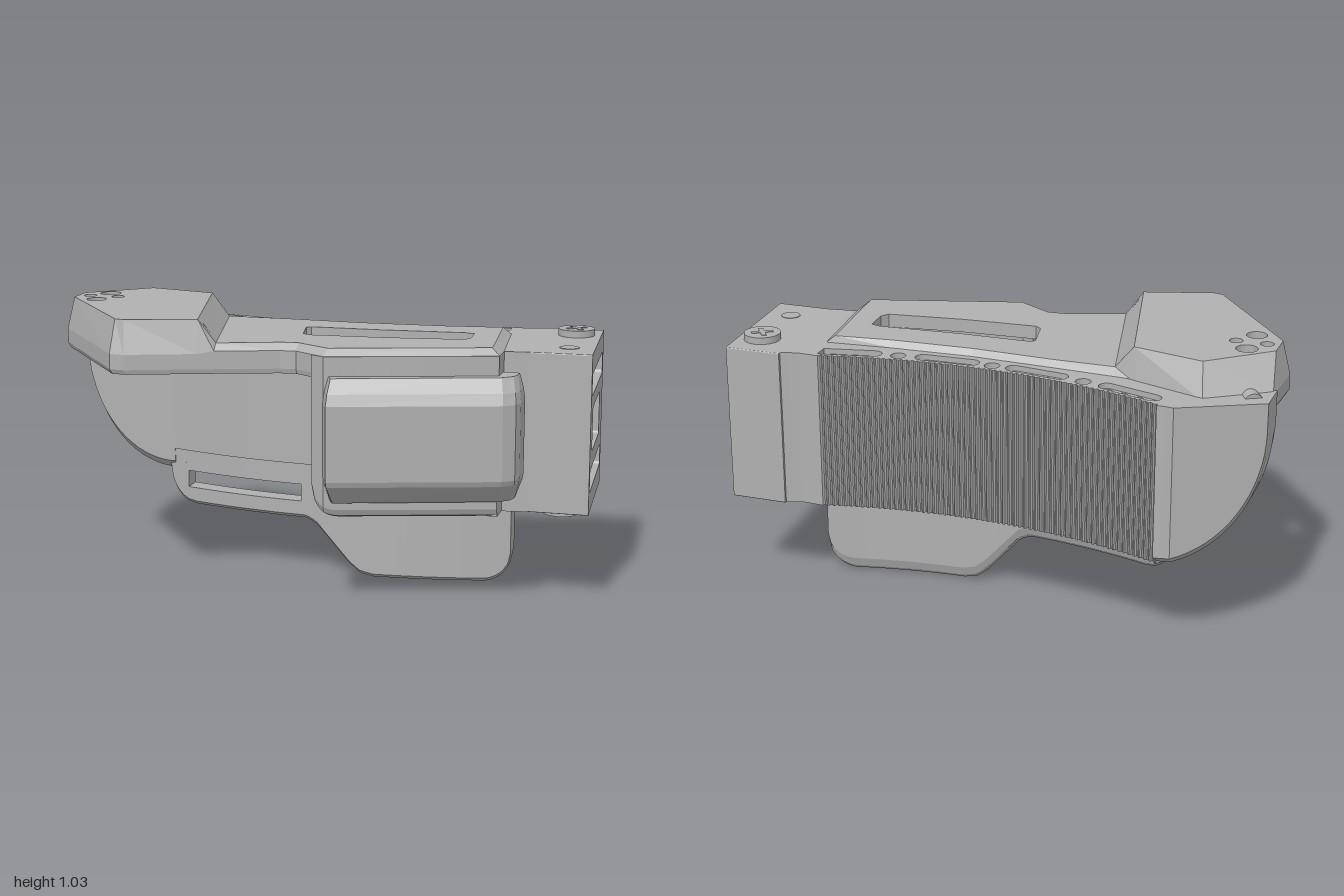
import * as THREE from 'three';

const grey = new THREE.MeshStandardMaterial({ color: 0xb0b0b0, side: THREE.DoubleSide });
grey.name = 'grey';

const V = (x, y) => new THREE.Vector2(x, y);
// the back of the grip is a shallow arc in plan; the front runs parallel to it
const back = x => (x > 0.62 ? -0.395 : -0.33 - 0.24 * (x - 0.1) ** 2);
const front = x => -0.07 - 0.24 * (Math.min(x, 0.68) - 0.1) ** 2;
const range = (a, b, n) => Array.from({ length: n + 1 }, (_, i) => a + (b - a) * i / n);
const arcDrop = t => 1 - Math.sqrt(Math.max(0, 1 - t * t));

function circle(x, y, r) {
  return new THREE.Path().absarc(x, y, r, 0, Math.PI * 2);
}
function roundRect(x0, y0, x1, y1, r, Type = THREE.Path) {
  const p = new Type();
  p.absarc(x1 - r, y0 + r, r, -Math.PI / 2, 0);
  p.absarc(x1 - r, y1 - r, r, 0, Math.PI / 2);
  p.absarc(x0 + r, y1 - r, r, Math.PI / 2, Math.PI);
  p.absarc(x0 + r, y0 + r, r, Math.PI, Math.PI * 1.5);
  p.closePath();
  return p;
}
// extrude a plan outline of [x, z] points upward from y0 to y1
function plan(pts, y0, y1, holes = []) {
  const s = new THREE.Shape(pts.map(([x, z]) => V(x, -z)));
  s.holes.push(...holes);
  return new THREE.ExtrudeGeometry(s, { depth: y1 - y0, bevelEnabled: false, curveSegments: 8 })
    .rotateX(-Math.PI / 2).translate(0, y0, 0);
}
// extrude a (-z, y) outline along x from x0
function across(shape, x0, depth) {
  return new THREE.ExtrudeGeometry(shape, { depth, bevelEnabled: false }).rotateY(Math.PI / 2).translate(x0, 0, 0);
}
// skin closed rings of [x, y, z] points, with optional fan caps
function loft(rings, caps = false) {
  const out = [], n = rings[0].length;
  const tri = (a, b, c) => out.push(...a, ...b, ...c);
  for (let i = 0; i + 1 < rings.length; i++) {
    for (let j = 0; j < n; j++) {
      const k = (j + 1) % n, p = rings[i], q = rings[i + 1];
      tri(p[j], p[k], q[k]);
      tri(p[j], q[k], q[j]);
    }
  }
  if (caps) {
    for (let j = 1; j + 1 < n; j++) {
      const p = rings[0], q = rings[rings.length - 1];
      tri(p[0], p[j + 1], p[j]);
      tri(q[0], q[j], q[j + 1]);
    }
  }
  const g = new THREE.BufferGeometry();
  g.setAttribute('position', new THREE.Float32BufferAttribute(out, 3));
  g.computeVertexNormals();
  return g;
}
// straight-line profile through a few [x, y] points
function profile(pts, x) {
  const i = Math.max(1, pts.findIndex(p => p[0] >= x)), [a, b] = [pts[i - 1], pts[i]];
  return a[1] + (b[1] - a[1]) * (x - a[0]) / (b[0] - a[0]);
}

export function createModel() {
  const model = new THREE.Group();
  const add = (name, g) => {
    const m = new THREE.Mesh(g, grey);
    m.name = name;
    model.add(m);
    return m;
  };

  // curved grip with a finely ribbed back, round holes and shallow slots
  const outline = range(-0.66, 0.62, 248).map((x, i) => [x, back(x) + (i % 4 > 1 ? 0.008 : 0)]);
  outline.push([0.7, -0.39], [0.77, -0.41], ...range(0.77, -0.66, 36).map(x => [x, front(x)]));
  const round = [-0.35, 0, 0.35].map(x => circle(x, -back(x) - 0.047, 0.028));
  const slots = [], bores = [];
  for (const x of [-0.53, -0.17, 0.17, 0.53]) {
    const slope = 0.48 * (x - 0.1), a = Math.atan(slope), z = d => -back(x) - 0.05 + slope * d;
    const p = new THREE.Path();
    p.absarc(x + 0.09, z(0.09), 0.029, a - Math.PI / 2, a + Math.PI / 2);
    p.absarc(x - 0.09, z(-0.09), 0.029, a + Math.PI / 2, a + Math.PI * 1.5);
    p.closePath();
    slots.push(p);
    for (const d of [-0.09, -0.03, 0.03, 0.09]) bores.push(circle(x + d, z(d), 0.022));
  }
  add('grip', plan(outline, 0.36, 0.9, [...round, ...bores]));
  add('gripTop', plan(outline, 0.9, 0.92, [...round, ...slots]));
  add('gripBottom', plan(outline, 0.34, 0.36, [...round, ...slots]));

  // grip end, its lower corner swept up in a curve
  add('gripEnd', loft(range(0, Math.PI / 2, 18).map(a => {
    const t = Math.sin(a), x = -0.65 - 0.35 * t, y = 0.34 + 0.46 * arcDrop(t);
    const zb = x > -0.7 ? -0.47 : -0.48 + (-0.7 - x) * 0.5;
    return [[x, y + 0.02, zb], [x, y, zb + 0.02], [x, y, -0.23], [x, y + 0.03, -0.2], [x, 0.92, -0.2], [x, 0.92, zb]];
  }), true));

  // raised panel on the front of the grip
  const panelEnd = range(0, 0.04, 5);
  add('frontPanel', loft([...panelEnd.map(d => -0.71 + d), ...range(-0.65, -0.01, 20), ...panelEnd.map(d => 0.01 + d)].map(x => {
    const d = 0.04 * arcDrop(Math.min(1, Math.max(0, -0.67 - x, x - 0.01) / 0.04)), z = front(x);
    return [[x, 0.42 + d, z], [x, 0.42 + d, z + 0.006], [x, 0.8 - d, z + 0.006], [x, 0.8 - d, z]];
  }), true));

  // hanging guard: open bar running into the lower plate
  const lower = [[-0.67, 0.21], [-0.09, 0.21], [-0.05, 0.19], [0.08, 0.045], [0.12, 0.012], [0.17, 0], [0.68, 0]];
  const guardX = [...range(-0.67, -0.591, 12), ...range(-0.59, -0.11, 14), ...range(-0.109, 0.2, 24), ...range(0.23, 0.57, 10), ...range(0.58, 0.68, 12)];
  add('guard', loft(guardX.map(x => {
    const lo = profile(lower, x) + 0.13 * arcDrop(Math.max(0, -0.56 - x) / 0.11) + 0.1 * arcDrop(Math.min(1, Math.max(0, x - 0.58) / 0.1));
    const hi = x > -0.5905 && x < -0.1095 ? 0.275 : 0.37, z = front(x);
    return [[x, hi, z], [x, lo + 0.012, z], [x, lo, z - 0.012], [x, lo, z - 0.05], [x, lo + 0.015, z - 0.068], [x, lo + 0.05, z - 0.08], [x, hi, z - 0.08]];
  }), true));

  // top shroud rim: lower x, z; upper x, z; upper y
  const H = 1.03, L = 0.945;
  const rim = [
    [-0.99, -0.22, -0.97, -0.11, H], [-0.78, -0.36, -0.76, -0.295, H], [-0.52, -0.27, -0.5, -0.23, H],
    [-0.44, -0.25, -0.43, -0.22, L], [-0.2, -0.235, -0.2, -0.22, L], [0.1, -0.22, 0.1, -0.205, L],
    [0.4, -0.23, 0.4, -0.215, L], [0.65, -0.25, 0.62, -0.24, L], [0.69, 0.13, 0.655, 0.12, L],
    [0.69, 0.21, 0.66, 0.19, L], [0.1, 0.38, 0.11, 0.35, L], [-0.02, 0.3, -0.02, 0.27, L],
    [-0.08, 0.305, -0.08, 0.275, L], [-0.3, 0.375, -0.3, 0.35, L], [-0.36, 0.395, -0.36, 0.37, H],
    [-0.6, 0.477, -0.61, 0.445, H], [-0.655, 0.472, -0.645, 0.435, H], [-1, 0, -0.97, 0, H],
  ];
  const inset = (x, y, z) => [x * 0.95 - 0.01, y, z * 0.9];
  add('shroudWall', loft([
    rim.map(([, , x, z, y]) => inset(x, y - 0.02, z)),
    rim.map(([x, z]) => inset(x, 0.838, z)),
    rim.map(([x, z]) => [x * 0.99, 0.838, z * 0.985]),
    rim.map(([x, z]) => [x, 0.855, z]),
    rim.map(([x, z, , , y]) => [x, y === H ? 0.91 : 0.92, z]),
    rim.map(([, , x, z, y]) => [x, y, z]),
  ]));
  const upper = rim.map(([, , x, z]) => [x, z]);
  const high = [...upper.slice(0, 3), ...upper.slice(14)];
  const through = [circle(-0.87, 0.12, 0.039), circle(-0.87, -0.03, 0.037)];
  const blind = [circle(-0.925, 0.05, 0.024), circle(-0.815, 0.05, 0.024)];
  add('shroudHighTop', plan(high, H - 0.02, H, [...through, ...blind]));
  add('shroudHighUnder', plan(high, H - 0.035, H - 0.02, through));
  const window = new THREE.Path([V(-0.08, 0.05), V(-0.065, 0.065), V(0.2, 0.067), V(0.51, 0.087), V(0.545, 0.075),
    V(0.55, -0.02), V(0.53, -0.05), V(0.25, -0.085), V(-0.03, -0.1), V(-0.055, -0.08)]);
  add('shroudLowTop', plan(upper.slice(3, 14), L - 0.05, L, [window]));
  const ramp = d => [2, 3, 13, 14].map(i => [rim[i][2], rim[i][4] - d, rim[i][3]]);
  add('shroudRamp', loft([ramp(0), ramp(0.03)], true));

  // skirt dropping from the shroud, its lower edge rounded under
  const skirtX = [...range(0.05, 0.15, 10), ...range(0.2, 0.69, 4)];
  add('skirt', loft(skirtX.map(x => {
    const y = 0.34 + 0.09 * arcDrop(Math.max(0, 0.15 - x) / 0.1);
    const z = 0.383 - Math.abs(x - 0.1) * (x < 0.1 ? 0.6 : 0.288);
    return [[x, 0.92, z], [x, y + 0.03, z], [x, y + 0.008, z - 0.01], [x, y, z - 0.03], [x, y, z - 0.05], [x, 0.92, z - 0.05]];
  }), true));
  add('skirtSide', plan([[0.65, 0.08], [0.69, 0.08], [0.69, 0.2], [0.65, 0.2]], 0.34, 0.92));

  // chamfered cover in front of the skirt
  const coverRing = (y, d) => [
    [0.12 + d * 0.3, y, 0.345], [0.1 + d * 0.3, y, 0.385 - d * 0.3], [0.13 + d * 0.1, y, 0.463 - d],
    [0.72 - d * 0.3, y, 0.29 - d], [0.76 - d * 0.4, y, 0.258 - d], [0.77 - d * 0.4, y, 0.22 - d], [0.77 - d * 0.4, y, 0.135], [0.68, y, 0.135],
  ];
  add('cover', loft([coverRing(0.4, 0.07), coverRing(0.47, 0.008), coverRing(0.49, 0), coverRing(0.76, 0),
    coverRing(0.8, 0.015), coverRing(0.85, 0.05)], true));

  // end block with three pockets, its end face slightly skewed
  const block = roundRect(-0.105, 0.34, 0.42, 0.92, 0.004, THREE.Shape);
  block.holes.push(roundRect(-0.07, 0.765, 0.385, 0.845, 0.015), roundRect(-0.015, 0.555, 0.29, 0.715, 0.012),
    roundRect(-0.07, 0.415, 0.385, 0.495, 0.015));
  const bg = across(block, 0.76, 0.24);
  const p = bg.attributes.position;
  for (let i = 0; i < p.count; i++) if (p.getX(i) > 0.9) p.setX(i, p.getX(i) + (p.getZ(i) - 0.105) * 0.06);
  bg.computeVertexNormals();
  add('endBlock', bg);
  add('blockFloor', plan([[0.63, -0.385], [0.71, -0.39], [0.78, -0.418], [0.78, 0.105], [0.63, 0.125]], 0.34, 0.92));

  // stepped frame and catch inside the middle pocket
  const frame = roundRect(-0.02, 0.55, 0.295, 0.72, 0.01, THREE.Shape);
  frame.holes.push(roundRect(0, 0.59, 0.245, 0.68, 0.004));
  add('pocketFrame', across(frame, 0.82, 0.03));
  add('pocketCatch', new THREE.BoxGeometry(0.04, 0.09, 0.06)).position.set(0.8, 0.635, -0.215);

  // screws, their shanks crossing the pockets
  for (const [y, dir, z, shankY] of [[0.932, 1, -0.29, 0.805], [0.328, -1, -0.017, 0.455]]) {
    add('screwHead', new THREE.CylinderGeometry(0.067, 0.067, 0.026, 32)).position.set(0.885, y, z);
    add('screwShank', new THREE.CylinderGeometry(0.033, 0.033, 0.09, 20)).position.set(0.885, shankY, z);
    add('screwTip', new THREE.CylinderGeometry(0.035, 0.035, 0.004, 20)).position.set(0.9, dir > 0 ? 0.34 : 0.92, z);
    for (const turn of [0.6, 0.6 + Math.PI / 2]) {
      const cross = add('screwCross', new THREE.BoxGeometry(0.08, 0.004, 0.018));
      cross.position.set(0.885, y + dir * 0.013, z);
      cross.rotation.y = turn;
    }
  }

  // hinge pin at the far corner
  const pin = add('hingePin', new THREE.CylinderGeometry(0.036, 0.036, 0.11, 20));
  pin.position.set(-0.915, 0.9, -0.25);
  pin.rotation.set(Math.PI / 2, 0, -0.5);
  return model;
}
